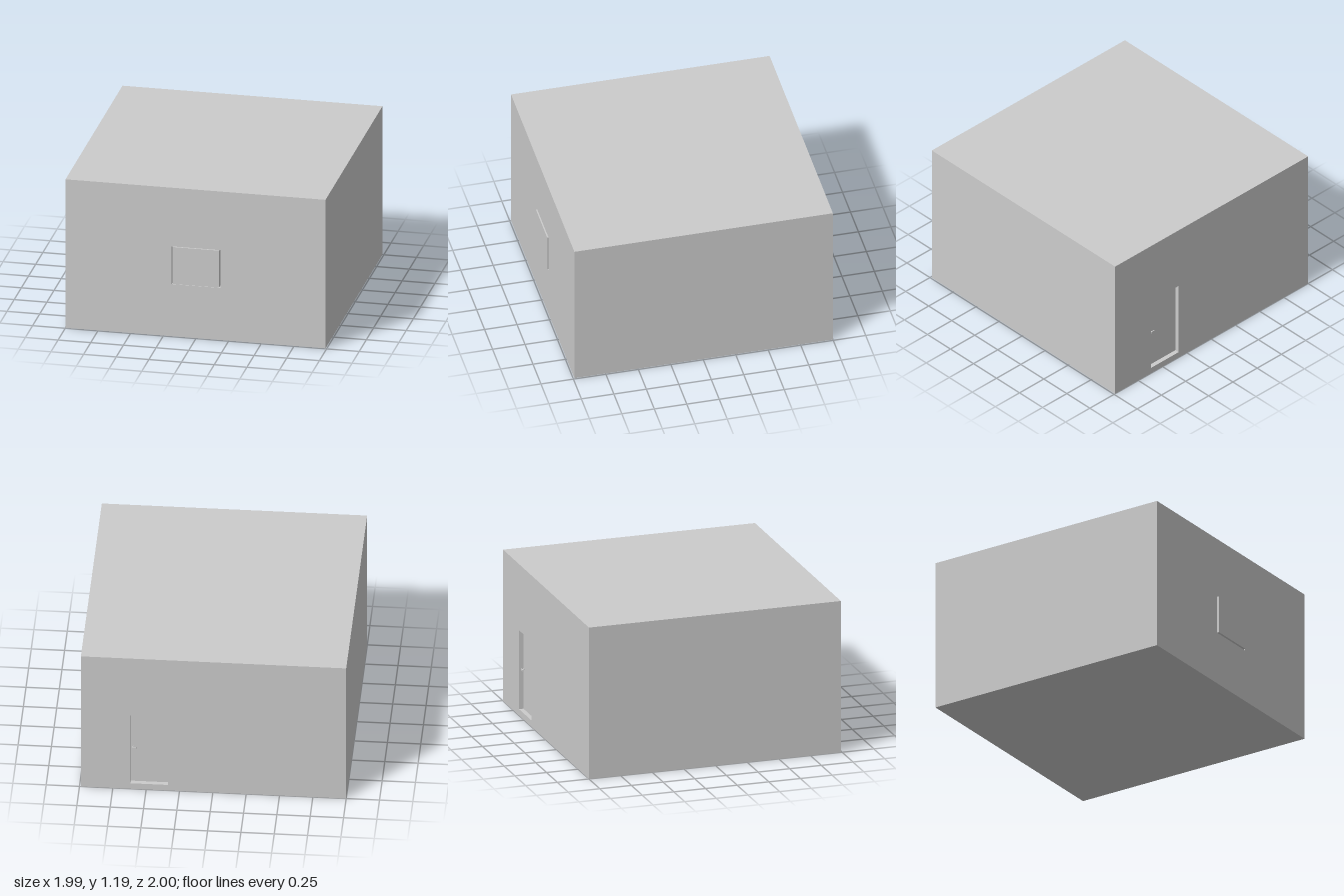
import * as THREE from 'three';

const X0 = -1, X1 = 0.99, H = 1.19, BACK = -1, FRONT = 0.99, SKIN = 0.035;

export function createModel() {
  const model = new THREE.Group();
  model.name = 'house';
  const material = new THREE.MeshStandardMaterial({ color: 0xcccccc, flatShading: true });

  const add = (name, geometry, parent = model) => {
    const mesh = new THREE.Mesh(geometry, material);
    mesh.name = name;
    parent.add(mesh);
    return mesh;
  };
  // Box given by its limits on each axis
  const block = (name, [xa, xb], [ya, yb], [za, zb], parent) => {
    const mesh = add(name, new THREE.BoxGeometry(xb - xa, yb - ya, zb - za), parent);
    mesh.position.set((xa + xb) / 2, (ya + yb) / 2, (za + zb) / 2);
    return mesh;
  };
  const rectangle = (path, [xa, xb], [ya, yb]) =>
    path.moveTo(xa, ya).lineTo(xb, ya).lineTo(xb, yb).lineTo(xa, yb).closePath();
  // Outer wall layer with one rectangular opening
  const wall = (name, z, openX, openY) => {
    const shape = rectangle(new THREE.Shape(), [X0, X1], [0, H]);
    shape.holes.push(rectangle(new THREE.Path(), openX, openY));
    const geometry = new THREE.ExtrudeGeometry(shape, { depth: SKIN, bevelEnabled: false });
    add(name, geometry).position.z = z;
  };

  // Main block between the two pierced walls
  block('body', [X0, X1], [0, H], [BACK + SKIN, FRONT - SKIN]);
  wall('frontWall', FRONT - SKIN, [-0.188, 0.185], [0.417, 0.72]);
  wall('backWall', BACK, [0.335, 0.62], [0.05, 0.67]);

  // Window panel, standing slightly proud of its opening
  block('windowPanel', [-0.18, 0.177], [0.423, 0.719], [FRONT - SKIN, 1]);

  // Door leaf at the bottom of its recess, with a lever handle
  const door = new THREE.Group();
  door.name = 'door';
  model.add(door);
  const doorZ = BACK + SKIN;
  block('doorLeaf', [0.337, 0.618], [0.052, 0.668], [doorZ - 0.002, doorZ + 0.01], door);
  const stem = add('handleStem', new THREE.CylinderGeometry(0.006, 0.006, 0.02, 12), door);
  stem.rotation.x = Math.PI / 2;
  stem.position.set(0.6, 0.365, doorZ - 0.01);
  block('handleLever', [0.572, 0.606], [0.359, 0.371], [doorZ - 0.024, doorZ - 0.016], door);

  return model;
}
